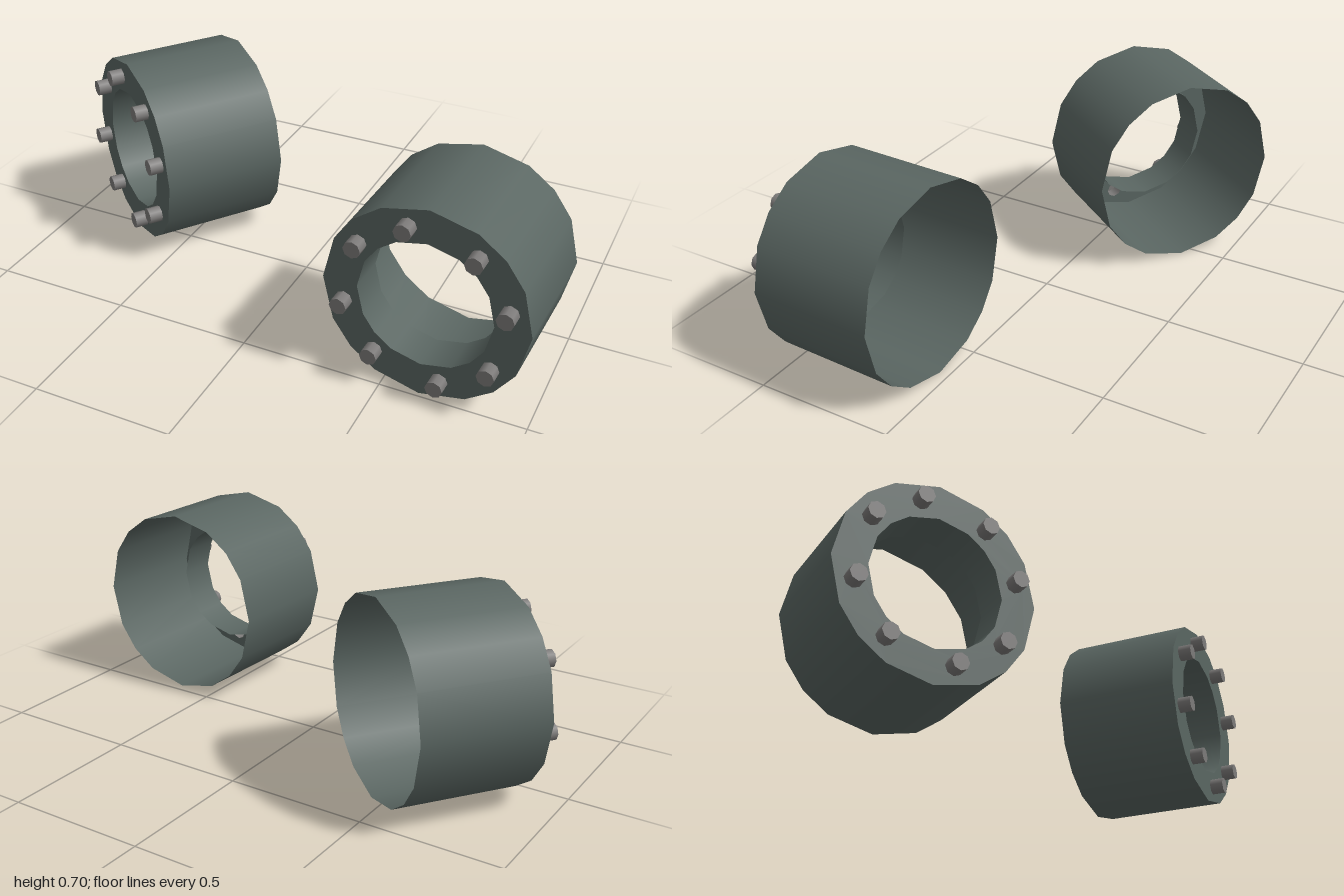
import * as THREE from 'three';

const R = 0.35, HOLE = 0.23, LENGTH = 0.45, LIP = 0.14;
const BOLT_CIRCLE = 0.283, BOLT_R = 0.03, BOLT_LEN = 0.048;
const SIDES = 16;

// sixteen corners, pulled slightly towards the diagonals
const warp = (a) => a + THREE.MathUtils.degToRad(4.07) * Math.sin(4 * a);

function outline(PathType, radius) {
  const points = [];
  for (let i = 0; i < SIDES; i++) {
    const a = warp((i / SIDES) * Math.PI * 2);
    points.push(new THREE.Vector2(radius * Math.cos(a), radius * Math.sin(a)));
  }
  return new PathType(points);
}

// open tube running back from z = 0, smooth normals
function tube(radius, depth) {
  const g = new THREE.CylinderGeometry(radius, radius, depth, SIDES, 1, true);
  g.rotateX(Math.PI / 2).translate(0, 0, -depth / 2);
  for (const attribute of [g.attributes.position, g.attributes.normal]) {
    for (let i = 0; i < attribute.count; i++) {
      const x = attribute.getX(i), y = attribute.getY(i);
      const a = warp(Math.atan2(y, x)), r = Math.hypot(x, y);
      attribute.setXY(i, r * Math.cos(a), r * Math.sin(a));
    }
  }
  return g;
}

function boltPositions() {
  const list = [];
  for (let quarter = 0; quarter < 4; quarter++) {
    for (const offset of [13.6, 54.6]) {
      const a = THREE.MathUtils.degToRad(offset + 90 * quarter);
      list.push([BOLT_CIRCLE * Math.cos(a), BOLT_CIRCLE * Math.sin(a)]);
    }
  }
  return list;
}

export function createModel() {
  const shellMaterial = new THREE.MeshStandardMaterial({ color: 0x5a6662, side: THREE.DoubleSide });
  shellMaterial.name = 'grey green metal';
  const boltMaterial = new THREE.MeshStandardMaterial({ color: 0x7c7a79, side: THREE.DoubleSide });
  boltMaterial.name = 'bolt grey';

  const bolts = boltPositions();

  // front flange with the large opening and the bolt holes
  const flangeShape = outline(THREE.Shape, R);
  flangeShape.holes.push(outline(THREE.Path, HOLE));
  for (const [x, y] of bolts) {
    const hole = new THREE.Path();
    for (let i = 0; i < 8; i++) {
      const a = (i / 8) * Math.PI * 2;
      const px = x + BOLT_R * Math.cos(a), py = y + BOLT_R * Math.sin(a);
      if (i === 0) hole.moveTo(px, py);
      else hole.lineTo(px, py);
    }
    hole.closePath();
    flangeShape.holes.push(hole);
  }
  const flangeGeometry = new THREE.ShapeGeometry(flangeShape);
  const shellGeometry = tube(R, LENGTH);
  const lipGeometry = tube(HOLE, LIP);

  // hollow bolt: eight-sided wall, closed at the front only
  const boltWall = new THREE.CylinderGeometry(BOLT_R, BOLT_R, BOLT_LEN, 8, 1, true)
    .rotateX(Math.PI / 2).translate(0, 0, BOLT_LEN / 2);
  const boltCap = new THREE.CircleGeometry(BOLT_R, 8).translate(0, 0, BOLT_LEN);

  function add(parent, name, geometry, material) {
    const mesh = new THREE.Mesh(geometry, material);
    mesh.name = name;
    parent.add(mesh);
    return mesh;
  }

  function ring(name, x, z, turn) {
    const group = new THREE.Group();
    group.name = name;
    add(group, 'shell', shellGeometry, shellMaterial);
    add(group, 'flange', flangeGeometry, shellMaterial);
    add(group, 'innerLip', lipGeometry, shellMaterial);
    for (const [bx, by] of bolts) {
      const bolt = new THREE.Group();
      bolt.name = 'bolt';
      add(bolt, 'boltWall', boltWall, boltMaterial);
      add(bolt, 'boltCap', boltCap, boltMaterial);
      bolt.position.set(bx, by, 0);
      group.add(bolt);
    }
    // origin is the centre of the front flange
    group.position.set(x, R, z);
    group.rotation.y = turn;
    return group;
  }

  const model = new THREE.Group();
  model.name = 'flangedRings';
  model.add(ring('rightRing', -0.718, 0.02, -0.634));
  model.add(ring('leftRing', 0.632, 0.485, -0.042));
  return model;
}
